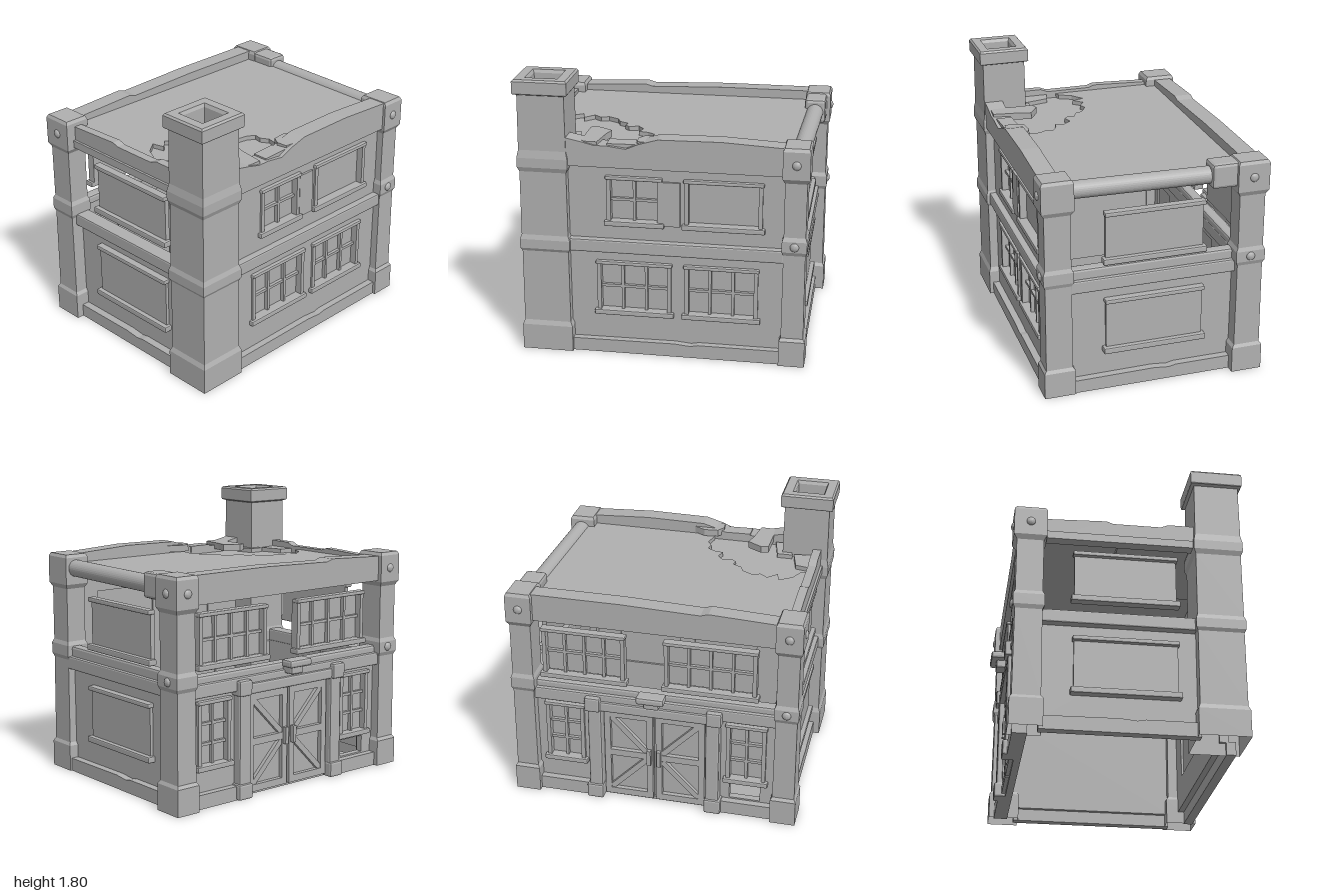
import * as THREE from 'three';
import { RoundedBoxGeometry } from 'three/addons/geometries/RoundedBoxGeometry.js';

const stone = new THREE.MeshStandardMaterial({ color: 0xb0b0b0, flatShading: true, side: THREE.DoubleSide });
stone.name = 'plain grey';

function add(parent, name, geometry, x = 0, y = 0, z = 0) {
  const mesh = new THREE.Mesh(geometry, stone);
  mesh.name = name;
  mesh.position.set(x, y, z);
  parent.add(mesh);
  return mesh;
}

// box given by its limits: along, up, outward
function box(parent, name, x0, x1, y0, y1, z0, z1, bevel = 0) {
  const [w, h, d] = [x1 - x0, y1 - y0, z1 - z0];
  const g = bevel ? new RoundedBoxGeometry(w, h, d, 1, bevel) : new THREE.BoxGeometry(w, h, d);
  return add(parent, name, g, (x0 + x1) / 2, (y0 + y1) / 2, (z0 + z1) / 2);
}

const shapeOf = pts => new THREE.Shape(pts.map(p => new THREE.Vector2(...p)));
const rect = (x0, x1, y0, y1) => [[x0, y0], [x1, y0], [x1, y1], [x0, y1]];

// upright slab with optional rectangular openings
function slab(parent, name, pts, z0, z1, holes = []) {
  const shape = shapeOf(pts);
  holes.forEach(h => shape.holes.push(shapeOf(rect(...h))));
  return add(parent, name, new THREE.ExtrudeGeometry(shape, { depth: z1 - z0, bevelEnabled: false }), 0, 0, z0);
}

// lying slab from [x, z] points
function plate(parent, name, pts, y0, y1) {
  const g = new THREE.ExtrudeGeometry(shapeOf(pts.map(([x, z]) => [x, -z])), { depth: y1 - y0, bevelEnabled: false });
  return add(parent, name, g.rotateX(-Math.PI / 2), 0, y0, 0);
}

// four-sided tower from a [half width, height] profile, open below
function tower(parent, name, x, z, depthRatio, profile) {
  const pts = profile.map(([r, y]) => new THREE.Vector2(r * Math.SQRT2, y));
  const g = new THREE.LatheGeometry(pts, 4).rotateY(Math.PI / 4).scale(1, 1, depthRatio);
  return add(parent, name, g, x, 0, z);
}

// one side of the house, with its outer face toward +z
function side(root, name, angle) {
  const g = new THREE.Group();
  g.name = name;
  g.rotation.y = angle;
  root.add(g);
  return g;
}

// framed pane with glazing bars
function windowUnit(parent, u0, u1, y0, y1, z, cols, rows) {
  const g = new THREE.Group();
  g.name = 'window';
  parent.add(g);
  box(g, 'pane', u0, u1, y0, y1, z - 0.045, z - 0.037);
  box(g, 'sill', u0 - 0.03, u1 + 0.03, y0 - 0.035, y0, z - 0.04, z + 0.025, 0.008);
  box(g, 'head', u0 - 0.02, u1 + 0.02, y1, y1 + 0.025, z - 0.04, z + 0.02, 0.008);
  for (const u of [u0, u1]) box(g, 'jamb', u - 0.013, u + 0.013, y0, y1, z - 0.045, z + 0.008);
  for (let i = 1; i < cols; i++) {
    const u = u0 + (u1 - u0) * i / cols;
    box(g, 'verticalBar', u - 0.009, u + 0.009, y0, y1, z - 0.04, z - 0.012);
  }
  for (let j = 1; j < rows; j++) {
    const y = y0 + (y1 - y0) * j / rows;
    box(g, 'crossBar', u0, u1, y - 0.009, y + 0.009, z - 0.04, z - 0.016);
  }
}

// board held between two rails
function railedPanel(parent, u0, u1, y0, y1, z) {
  box(parent, 'board', u0 + 0.01, u1 - 0.01, y0, y1, z - 0.03, z);
  box(parent, 'lowerRail', u0 - 0.01, u1 + 0.01, y0 - 0.02, y0 + 0.02, z - 0.03, z + 0.03, 0.008);
  box(parent, 'upperRail', u0, u1, y1 - 0.015, y1 + 0.015, z - 0.03, z + 0.025, 0.008);
}

const middleBeam = (g, u0, u1, zOut) => box(g, 'middleBeam', u0, u1, 0.69, 0.775, zOut - 0.1, zOut, 0.01);
const beamCap = (g, u0, u1, top, zOut) => box(g, 'beamCap', u0, u1, 0.76, top, zOut - 0.1, zOut - 0.025, 0.015);

function footing(g, u0, u1, zOut) {
  const m = (u0 + u1) / 2;
  slab(g, 'footing', [[u0, 0], [u1, 0], [u1, 0.09], [m + 0.15, 0.09], [m + 0.1, 0.08], [m, 0.09], [u0, 0.085]], zOut - 0.06, zOut);
}

export function createModel() {
  const model = new THREE.Group();
  model.name = 'ruinedHouse';
  const house = new THREE.Group();
  house.name = 'house';
  house.rotation.y = -6 * Math.PI / 180;
  house.position.x = 0.01;
  model.add(house);

  // corner posts with flared foot, waist band and head; rivets as [x side, z side, height]
  const post = [[0.1, 0], [0.1, 0.17], [0.086, 0.19], [0.083, 0.75], [0.095, 0.775], [0.095, 0.845],
    [0.083, 0.87], [0.083, 1.22], [0.102, 1.25], [0.102, 1.425], [0.09, 1.445], [0, 1.445]];
  const posts = [
    [-0.62, -0.85, [[0, -1, 1.34], [0, -1, 0.81], [-1, 0, 1.34]]],
    [0.605, -0.805, [[1, 0, 1.34], [1, 0, 0.81]]],
    [-0.615, 0.85, [[0, 1, 1.34], [-1, 0, 1.34], [-1, 0, 0.81]]],
  ];
  for (const [x, z, rivets] of posts) {
    tower(house, 'cornerPost', x, z, 0.82, post);
    for (const [sx, sz, y] of rivets) {
      const g = new THREE.SphereGeometry(0.028, 16, 10).scale(sx ? 0.6 : 1, 1, sz ? 0.6 : 1);
      const r = y > 1 ? 0.1 : 0.094;
      add(house, 'rivet', g, x + sx * r, y, z + sz * r * 0.82);
    }
  }

  // hollow chimney
  tower(house, 'chimney', 0.553, 0.763, 1.04, [[0.157, 0], [0.157, 0.17], [0.145, 0.2], [0.143, 0.68],
    [0.154, 0.7], [0.154, 0.76], [0.144, 0.79], [0.142, 1.21], [0.154, 1.24], [0.154, 1.3], [0.144, 1.35],
    [0.141, 1.7], [0.16, 1.708], [0.164, 1.715], [0.164, 1.788], [0.154, 1.8], [0.1, 1.8], [0.09, 1.78], [0.09, 1.45], [0, 1.45]]);

  // front and back: closed below, loose board in an open bay above
  for (const [name, angle, u0, u1, z] of [['frontWall', 0, -0.54, 0.42, 0.885], ['backWall', Math.PI, -0.53, 0.55, 0.875]]) {
    const g = side(house, name, angle);
    const c = name === 'frontWall' ? -0.02 : 0.02;
    footing(g, u0, u1, z);
    slab(g, 'lowerWall', rect(u0, u1, 0.08, 0.7), z - 0.09, z - 0.05);
    railedPanel(g, c - 0.325, c + 0.325, 0.26, 0.6, z - 0.03);
    middleBeam(g, u0, u1, z);
    railedPanel(g, c - 0.325, c + 0.325, 0.87, 1.18, z - 0.04);
    if (name === 'frontWall') {
      slab(g, 'topBeam', [[u0, 1.26], [u1, 1.26], [u1, 1.42], [0.25, 1.42], [0.2, 1.4], [-0.1, 1.4], [-0.14, 1.415], [u0, 1.4]], z - 0.07, z - 0.015);
      box(g, 'topBeamLip', u0, u1, 1.26, 1.31, z - 0.05, z);
    } else beamCap(g, u0, u1, 0.84, z);
  }

  // round beam and sleeve at the back
  const log = add(house, 'roundBeam', new THREE.CylinderGeometry(0.055, 0.055, 1.2, 32).rotateZ(Math.PI / 2), -0.01, 1.355, -0.828);
  log.rotation.y = -0.03;
  box(house, 'beamSleeve', -0.54, -0.36, 1.28, 1.44, -0.91, -0.77, 0.02);

  // right side: closed, four windows, one half boarded
  const right = side(house, 'rightWall', Math.PI / 2);
  const rightWindows = [[-0.43, 0.02, 0.29, 0.6, 3, 2], [0.13, 0.57, 0.29, 0.6, 3, 2],
    [-0.36, -0.04, 0.9, 1.17, 2, 2], [0.13, 0.59, 0.9, 1.17, 1, 1]];
  footing(right, -0.62, 0.74, 0.685);
  slab(right, 'wall', rect(-0.62, 0.74, 0.08, 1.28), 0.585, 0.64, rightWindows.map(w => w.slice(0, 4)));
  for (const [a, b, c, d, cols, rows] of rightWindows) windowUnit(right, a, b, c, d, 0.645, cols, rows);
  box(right, 'windowBoard', -0.03, 0.09, 0.88, 1.17, 0.63, 0.655);
  middleBeam(right, -0.62, 0.74, 0.685);
  slab(right, 'brokenTopBeam', [[-0.62, 1.26], [0.74, 1.26], [0.74, 1.44], [0.35, 1.46], [-0.04, 1.455], [-0.16, 1.42],
    [-0.24, 1.385], [-0.36, 1.4], [-0.44, 1.4], [-0.52, 1.42], [-0.62, 1.44]], 0.57, 0.69);

  // left side: double door between windows, open bay above
  const left = side(house, 'leftWall', -Math.PI / 2);
  const lowWindows = [[-0.71, -0.48, 0.26, 0.64], [0.48, 0.71, 0.26, 0.64]];
  slab(left, 'lowerWall', rect(-0.8, 0.8, 0, 0.72), 0.595, 0.64,
    [...lowWindows, [-0.34, 0.34, 0.02, 0.66], [0.49, 0.69, 0.1, 0.21]]);
  for (const w of lowWindows) windowUnit(left, ...w, 0.65, 2, 3);
  for (const s of [-1, 1]) box(left, 'footing', s < 0 ? -0.8 : 0.42, s < 0 ? -0.42 : 0.8, 0, 0.09, 0.62, 0.685);
  middleBeam(left, -0.8, 0.8, 0.685);
  beamCap(left, -0.8, 0.8, 0.82, 0.685);
  windowUnit(left, -0.71, -0.2, 0.89, 1.18, 0.66, 4, 2);
  windowUnit(left, 0.08, 0.64, 0.89, 1.18, 0.66, 4, 2);
  slab(left, 'topBeam', [[-0.8, 1.26], [0.8, 1.26], [0.8, 1.42], [0.35, 1.44], [0.3, 1.425], [-0.2, 1.44], [-0.8, 1.44]], 0.575, 0.69);

  // door leaves, frame and lamp
  for (const s of [-1, 1]) {
    const leaf = new THREE.Group();
    leaf.name = 'doorLeaf';
    left.add(leaf);
    const bar = (a, b, y0, y1) => box(leaf, 'doorBar', Math.min(s * a, s * b), Math.max(s * a, s * b), y0, y1, 0.63, 0.665);
    box(leaf, 'doorPanel', s < 0 ? -0.34 : 0.005, s < 0 ? -0.005 : 0.34, 0.02, 0.66, 0.605, 0.635);
    bar(0.01, 0.05, 0.02, 0.66);
    bar(0.29, 0.33, 0.02, 0.66);
    for (const y of [0.02, 0.32, 0.61]) bar(0.05, 0.29, y, y + 0.045);
    for (const [y, tilt] of [[0.19, -1], [0.49, 1]]) {
      const brace = box(leaf, 'brace', -0.17, 0.17, -0.018, 0.018, 0.632, 0.66);
      brace.position.x = s * 0.17;
      brace.position.y = y;
      brace.rotation.z = s * tilt * 0.8;
    }
    bar(0.02, 0.045, 0.29, 0.4).position.z = 0.675;
    box(left, 'doorPost', s * 0.385 - 0.045, s * 0.385 + 0.045, 0, 0.74, 0.6, 0.7, 0.012);
    box(left, 'doorPostFoot', s * 0.39 - 0.055, s * 0.39 + 0.055, 0, 0.1, 0.6, 0.715, 0.012);
    box(left, 'doorPostCap', s * 0.395 - 0.05, s * 0.395 + 0.05, 0.66, 0.76, 0.62, 0.72, 0.012);
  }
  box(left, 'doorLintel', -0.4, 0.4, 0.66, 0.73, 0.6, 0.7, 0.012);
  box(left, 'lampBracket', -0.05, 0.05, 0.75, 0.83, 0.66, 0.75, 0.012);
  box(left, 'lampHood', -0.09, 0.09, 0.8, 0.85, 0.69, 0.785, 0.015);

  // roof with a jagged broken corner over a lower layer
  plate(house, 'roof', [[-0.6, -0.82], [0.6, -0.79], [0.6, 0.12], [0.54, 0.12], [0.45, 0.1], [0.4, 0.13], [0.35, 0.12],
    [0.32, 0.17], [0.31, 0.23], [0.25, 0.21], [0.2, 0.25], [0.22, 0.31], [0.19, 0.34], [0.15, 0.33], [0.12, 0.39],
    [0.07, 0.41], [0.03, 0.48], [0.05, 0.53], [0.01, 0.58], [0.07, 0.64], [-0.01, 0.66], [0.05, 0.74],
    [0.13, 0.78], [0.15, 0.84], [-0.6, 0.84]], 1.35, 1.38);
  plate(house, 'roofUnderlayer', rect(-0.05, 0.6, 0.08, 0.84), 1.32, 1.352);
  const shard = box(house, 'hangingShard', 0.0, 0.22, 1.23, 1.245, 0.6, 0.72);
  shard.rotation.z = 0.1;

  // loose rubble beside the chimney
  const rubble = [
    [1.43, [[0.6, 0.01], [0.53, 0.11], [0.53, 0.2], [0.58, 0.24], [0.65, 0.24], [0.68, 0.12]]],
    [1.41, [[0.55, 0.25], [0.65, 0.25], [0.64, 0.43], [0.54, 0.42]]],
    [1.42, [[0.33, 0.51], [0.4, 0.42], [0.48, 0.45], [0.64, 0.49], [0.63, 0.57], [0.58, 0.61], [0.52, 0.58], [0.34, 0.56]]],
    [1.38, [[0.32, 0.62], [0.5, 0.6], [0.5, 0.7], [0.31, 0.72]]],
    [1.38, [[0.13, 0.84], [0.16, 0.75], [0.32, 0.73], [0.33, 0.87]]],
  ];
  for (const [top, pts] of rubble) plate(model, 'rubble', pts, top - 0.045, top);
  return model;
}
